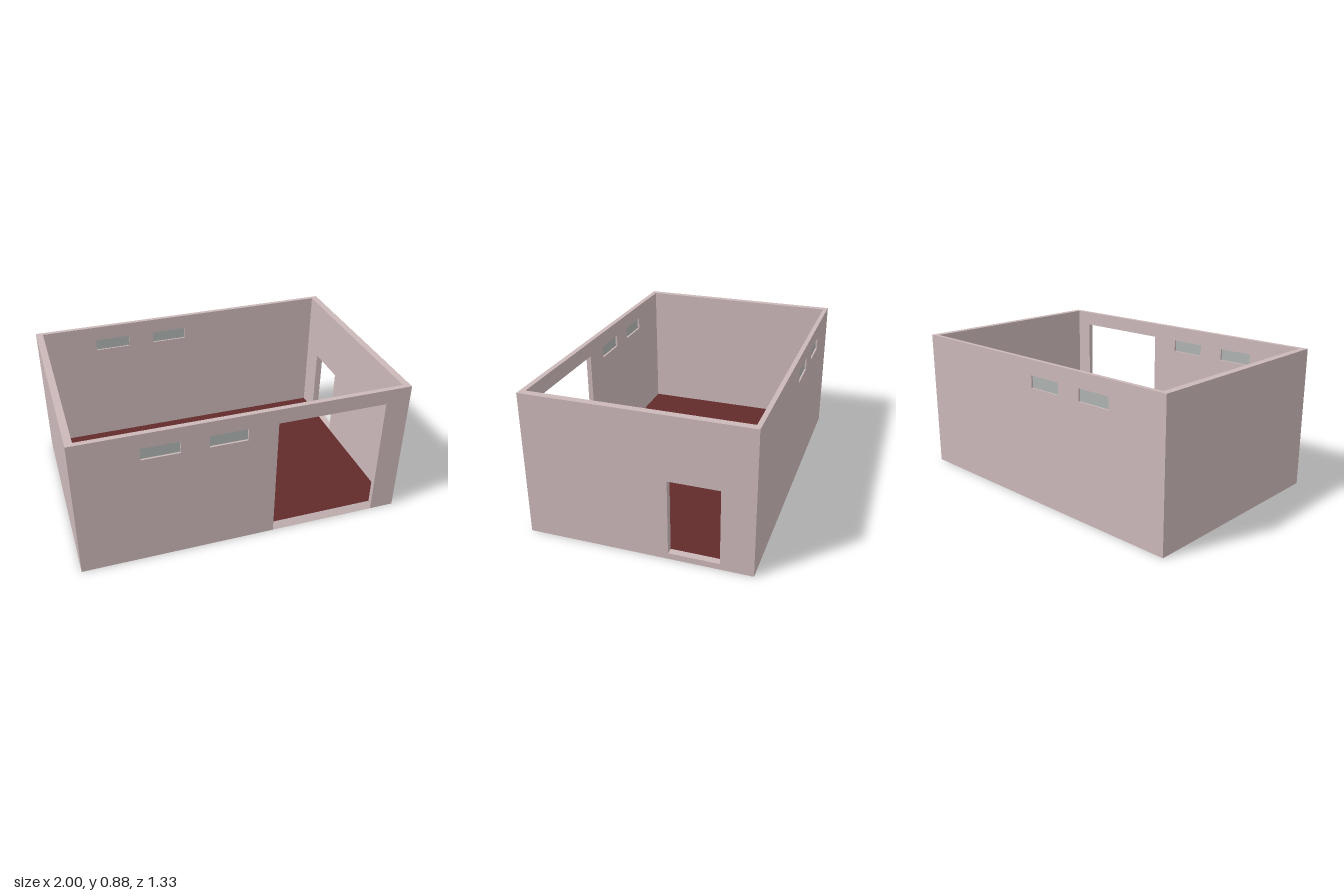
import * as THREE from 'three';

const W = 1, D = 0.667, H = 0.88;            // half width, half depth, height
const SIDE = 0.043, FRONT = 0.031, BACK = 0.027; // wall thicknesses
const FLOOR = 0.037;
const DOOR = { x0: 0.18, x1: 0.847, top: 0.787 };
const WINDOWS = [[-0.615, -0.39], [-0.225, 0]];
const WIN_Y = [0.712, 0.787];

const wallMat = new THREE.MeshStandardMaterial({ color: 0xcbb7b8 });
const floorMat = new THREE.MeshStandardMaterial({ color: 0x612a2a });
const glassMat = new THREE.MeshStandardMaterial({ color: 0xaeb4b2 });

const polygon = (pts) => new THREE.Shape(pts.map(([x, y]) => new THREE.Vector2(x, y)));
const rect = (x0, x1, y0, y1) => polygon([[x0, y0], [x1, y0], [x1, y1], [x0, y1]]);

function add(parent, name, geometry, material) {
  const mesh = new THREE.Mesh(geometry, material);
  mesh.name = name;
  parent.add(mesh);
  return mesh;
}

function extrude(shape, depth) {
  return new THREE.ExtrudeGeometry(shape, { depth, bevelEnabled: false });
}

// Long wall with two high windows; z is its rear face
function longWall(name, outline, z, thickness) {
  const group = new THREE.Group();
  group.name = name;
  outline.holes = WINDOWS.map(([a, b]) => rect(a, b, ...WIN_Y));
  add(group, name + 'Panel', extrude(outline, thickness), wallMat);
  for (const [a, b] of WINDOWS) {
    const pane = add(group, 'windowPane',
      new THREE.BoxGeometry(b - a, WIN_Y[1] - WIN_Y[0], 0.006), glassMat);
    pane.position.set((a + b) / 2, (WIN_Y[0] + WIN_Y[1]) / 2, thickness / 2);
  }
  group.position.z = z;
  return group;
}

// Short wall fitted between the long walls; u runs towards the back
function sideWall(name, x, holes) {
  const shape = rect(-D + FRONT, D - BACK, 0, H);
  shape.holes = holes;
  const geometry = extrude(shape, SIDE).rotateY(Math.PI / 2);
  const mesh = new THREE.Mesh(geometry, wallMat);
  mesh.name = name;
  mesh.position.x = x;
  return mesh;
}

export function createModel() {
  const model = new THREE.Group();
  model.name = 'building';

  // Front wall with the tall doorway cut down to the ground
  const { x0, x1, top } = DOOR;
  const frontOutline = polygon([[-W, 0], [x0, 0], [x0, top], [x1, top],
    [x1, 0], [W, 0], [W, H], [-W, H]]);
  model.add(longWall('frontWall', frontOutline, D - FRONT, FRONT));
  model.add(longWall('backWall', rect(-W, W, 0, H), -D, BACK));

  // Side walls, the left one with a smaller doorway
  model.add(sideWall('leftWall', W - SIDE, [rect(0.18, 0.477, FLOOR, 0.495)]));
  model.add(sideWall('rightWall', -W, []));

  // Floor slab with a thin coloured covering
  const innerW = 2 * (W - SIDE), innerD = 2 * D - FRONT - BACK;
  const midZ = (BACK - FRONT) / 2, cover = 0.003;
  add(model, 'floorSlab', new THREE.BoxGeometry(innerW, FLOOR - cover, innerD), wallMat)
    .position.set(0, (FLOOR - cover) / 2, midZ);
  add(model, 'floorCovering', new THREE.BoxGeometry(innerW, cover, innerD), floorMat)
    .position.set(0, FLOOR - cover / 2, midZ);

  // Sloped threshold filling the front doorway
  const wedge = polygon([[-D, 0], [-D + FRONT, 0], [-D + FRONT, FLOOR]]);
  add(model, 'doorRamp', extrude(wedge, x1 - x0).rotateY(Math.PI / 2), wallMat)
    .position.x = x0;

  return model;
}
